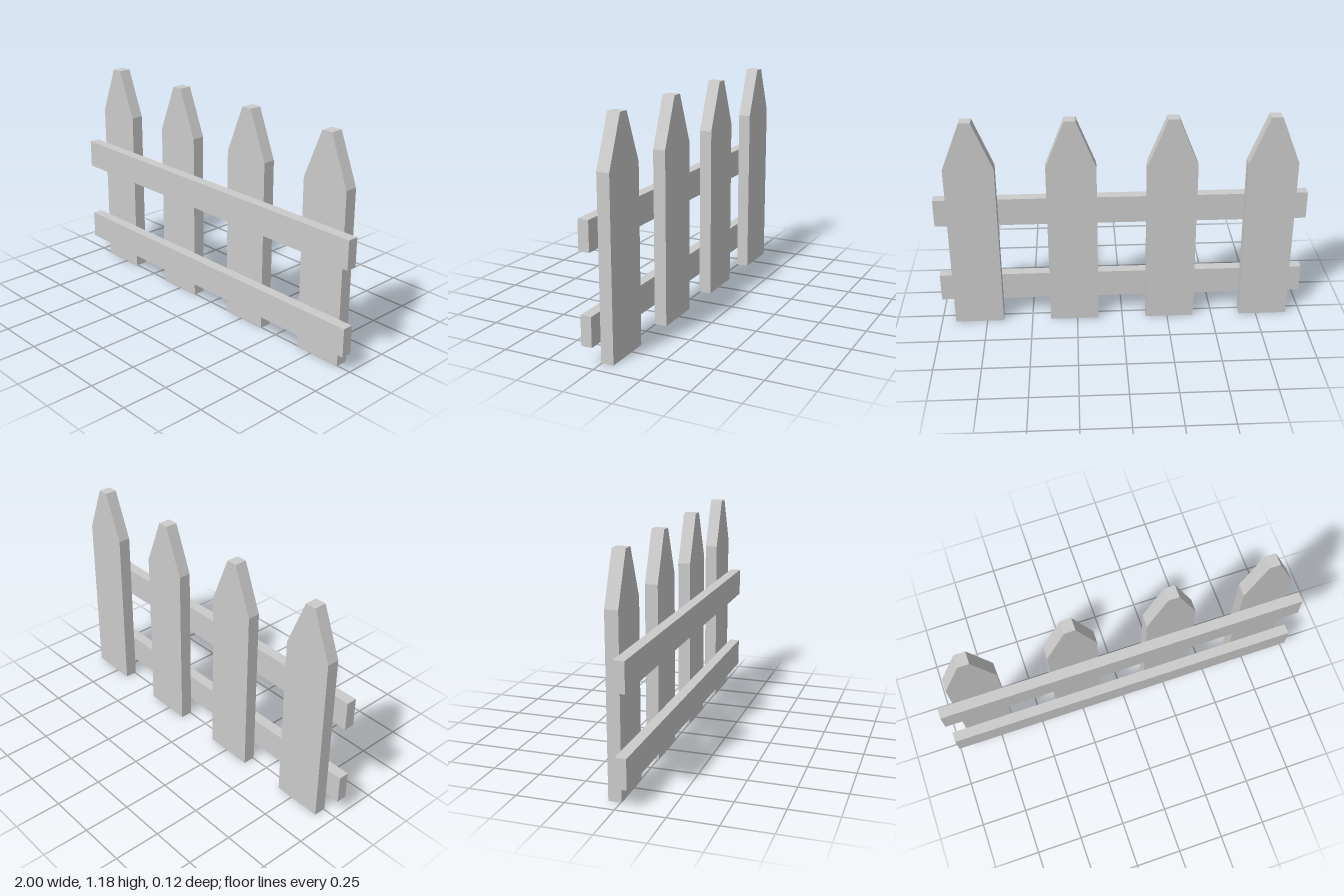
import * as THREE from 'three';

export function createModel() {
  const fence = new THREE.Group();
  fence.name = 'picketFence';
  const material = new THREE.MeshStandardMaterial({ color: 0xcccccc, flatShading: true });

  const back = -0.062, joint = 0.005, front = 0.062;

  // Picket: a flat board with tapered shoulders and a blunt tip
  const halfWidth = 0.132, halfTip = 0.029, shoulderY = 0.923, topY = 1.18;
  const outline = new THREE.Shape([
    new THREE.Vector2(-halfWidth, 0),
    new THREE.Vector2(halfWidth, 0),
    new THREE.Vector2(halfWidth, shoulderY),
    new THREE.Vector2(halfTip, topY),
    new THREE.Vector2(-halfTip, topY),
    new THREE.Vector2(-halfWidth, shoulderY),
  ]);
  const picketGeometry = new THREE.ExtrudeGeometry(outline, { depth: joint - back, bevelEnabled: false });
  [-0.788, -0.263, 0.265, 0.791].forEach((x, i) => {
    const picket = new THREE.Mesh(picketGeometry, material);
    picket.name = `picket${i + 1}`;
    picket.position.set(x, 0, back);
    fence.add(picket);
  });

  // Two horizontal rails across the front of the pickets
  const railGeometry = new THREE.BoxGeometry(2, 0.153, front - joint);
  for (const [name, y] of [['lowerRail', 0.182], ['upperRail', 0.642]]) {
    const rail = new THREE.Mesh(railGeometry, material);
    rail.name = name;
    rail.position.set(0, y, (front + joint) / 2);
    fence.add(rail);
  }

  return fence;
}
